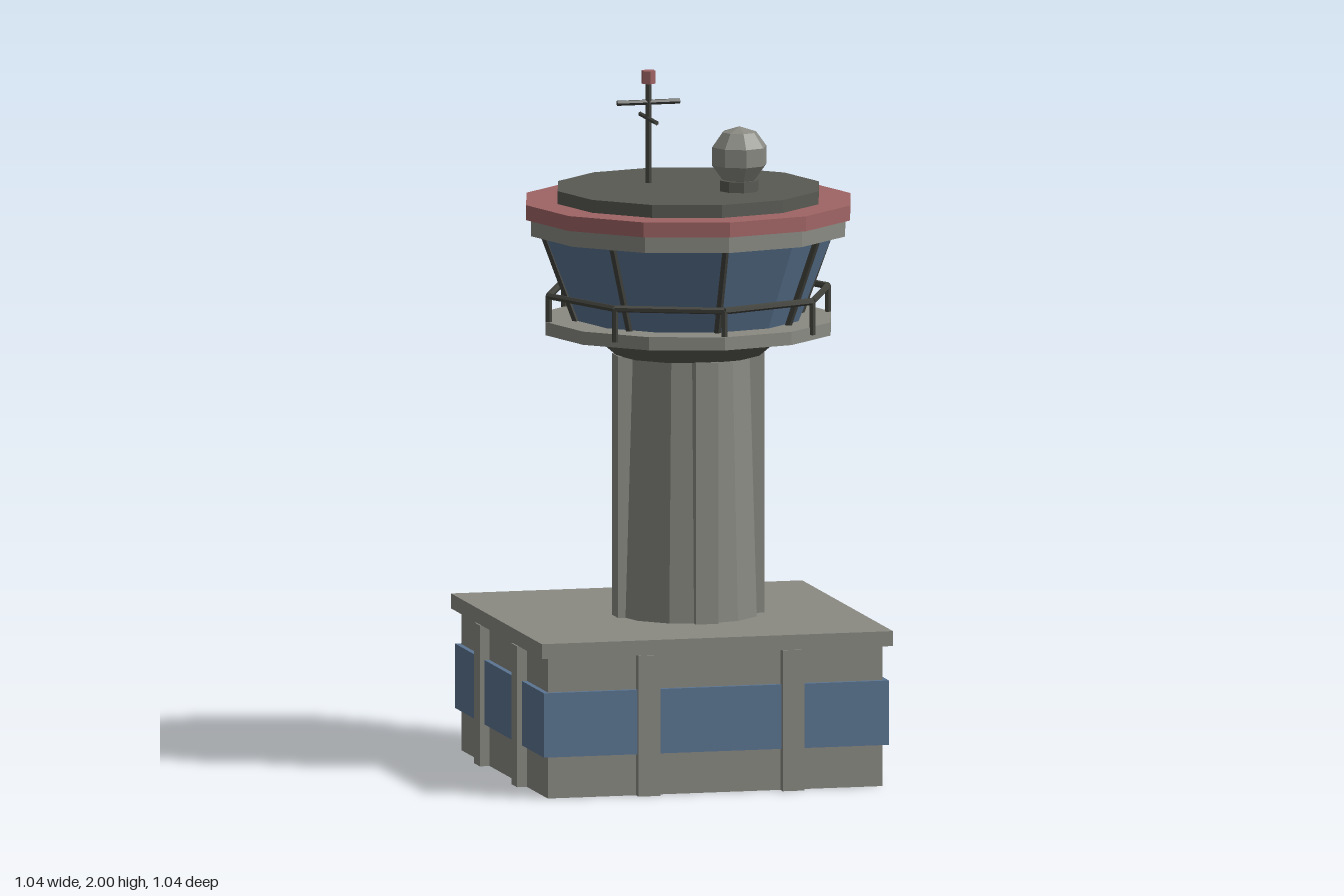
import * as THREE from 'three';

const mat = (name, color, flatShading = true) => {
  const m = new THREE.MeshStandardMaterial({ color, flatShading });
  m.name = name;
  return m;
};

export function createModel() {
  const concrete = mat('concrete', 0x8a8a83);
  const dark = mat('dark roofing', 0x5a5a54);
  const metal = mat('dark metal', 0x42423d);
  const glass = mat('blue glass', 0x5b7592);
  const red = mat('faded red', 0xa06464);

  const model = new THREE.Group();
  model.name = 'controlTower';

  const add = (parent, name, geometry, material, x = 0, y = 0, z = 0) => {
    const mesh = new THREE.Mesh(geometry, material);
    mesh.name = name;
    mesh.position.set(x, y, z);
    parent.add(mesh);
    return mesh;
  };
  const box = (parent, name, material, w, y0, y1, d, x = 0, z = 0) =>
    add(parent, name, new THREE.BoxGeometry(w, y1 - y0, d), material, x, (y0 + y1) / 2, z);
  // Prism or frustum standing between two heights
  const drum = (parent, name, material, r0, r1, y0, y1, sides = 12, x = 0, z = 0) =>
    add(parent, name, new THREE.CylinderGeometry(r1, r0, y1 - y0, sides), material, x, (y0 + y1) / 2, z);
  // Straight round bar between two points
  const bar = (parent, name, material, a, b, r, sides = 6) => {
    const dir = b.clone().sub(a);
    const mesh = add(parent, name, new THREE.CylinderGeometry(r, r, dir.length(), sides), material);
    mesh.position.copy(a).add(b).multiplyScalar(0.5);
    mesh.quaternion.setFromUnitVectors(new THREE.Vector3(0, 1, 0), dir.normalize());
    return mesh;
  };
  const polar = (r, y, a) => new THREE.Vector3(Math.cos(a) * r, y, Math.sin(a) * r);

  // Square base building with a wrapping window band
  const base = new THREE.Group();
  base.name = 'baseBuilding';
  model.add(base);
  box(base, 'baseWalls', concrete, 0.984, 0, 0.405, 0.984);
  box(base, 'baseWindowBand', glass, 1.014, 0.12, 0.305, 1.014);
  box(base, 'baseRoofSlab', concrete, 1.032, 0.405, 0.448, 1.032);
  for (const p of [-0.201, 0.223]) {
    for (const s of [-1, 1]) {
      box(base, 'pilaster', concrete, 0.064, 0, 0.405, 0.04, p, s * 0.501);
      box(base, 'pilaster', concrete, 0.04, 0, 0.405, 0.064, s * 0.501, p);
    }
  }

  // Tower stands slightly off the base centre
  const tower = new THREE.Group();
  tower.name = 'tower';
  tower.position.set(0.038, 0, 0.038);
  model.add(tower);
  drum(tower, 'shaft', concrete, 0.202, 0.18, 0.44, 1.21);
  for (let i = 0; i < 4; i++) {
    const a = (i * Math.PI) / 2;
    const rib = box(tower, 'shaftRib', concrete, 0.066, 0.44, 1.2, 0.07, Math.sin(a) * 0.18, Math.cos(a) * 0.18);
    rib.rotation.y = a;
  }
  drum(tower, 'flaredCollar', dark, 0.21, 0.29, 1.198, 1.266);
  drum(tower, 'balconyFloor', concrete, 0.42, 0.42, 1.264, 1.302);

  // Outward leaning glazed cab
  drum(tower, 'cabGlass', glass, 0.325, 0.425, 1.3, 1.552);
  for (let i = 0; i < 8; i++) {
    const a = (i * Math.PI) / 4, b = a + Math.PI / 4;
    bar(tower, 'mullion', metal, polar(0.33, 1.3, a), polar(0.424, 1.55, a), 0.01);
    bar(tower, 'railPost', metal, polar(0.41, 1.28, a), polar(0.41, 1.376, a), 0.009);
    bar(tower, 'handrail', metal, polar(0.41, 1.376, a), polar(0.41, 1.376, b), 0.01);
  }

  // Stepped roof
  drum(tower, 'roofEave', concrete, 0.462, 0.462, 1.55, 1.598);
  drum(tower, 'roofBand', red, 0.477, 0.477, 1.597, 1.64);
  drum(tower, 'roofCap', dark, 0.384, 0.384, 1.638, 1.677);

  // Radar dome on its pedestal
  drum(model, 'domePedestal', dark, 0.056, 0.056, 1.67, 1.708, 8, 0.157, 0.157);
  add(model, 'radarDome', new THREE.SphereGeometry(0.084, 8, 5), concrete, 0.157, 1.778, 0.157);

  // Antenna mast with two crossed bars and a beacon
  const m = -0.055, h = 0.092;
  const v = (x, y, z) => new THREE.Vector3(x, y, z);
  drum(model, 'mast', metal, 0.009, 0.009, 1.67, 1.97, 6, m, m);
  bar(model, 'mastBarAcross', metal, v(m - h, 1.909, m), v(m + h, 1.909, m), 0.008);
  bar(model, 'mastBarAlong', metal, v(m, 1.862, m - h), v(m, 1.862, m + h), 0.007);
  drum(model, 'beacon', red, 0.021, 0.021, 1.963, 2, 6, m, m);

  return model;
}
